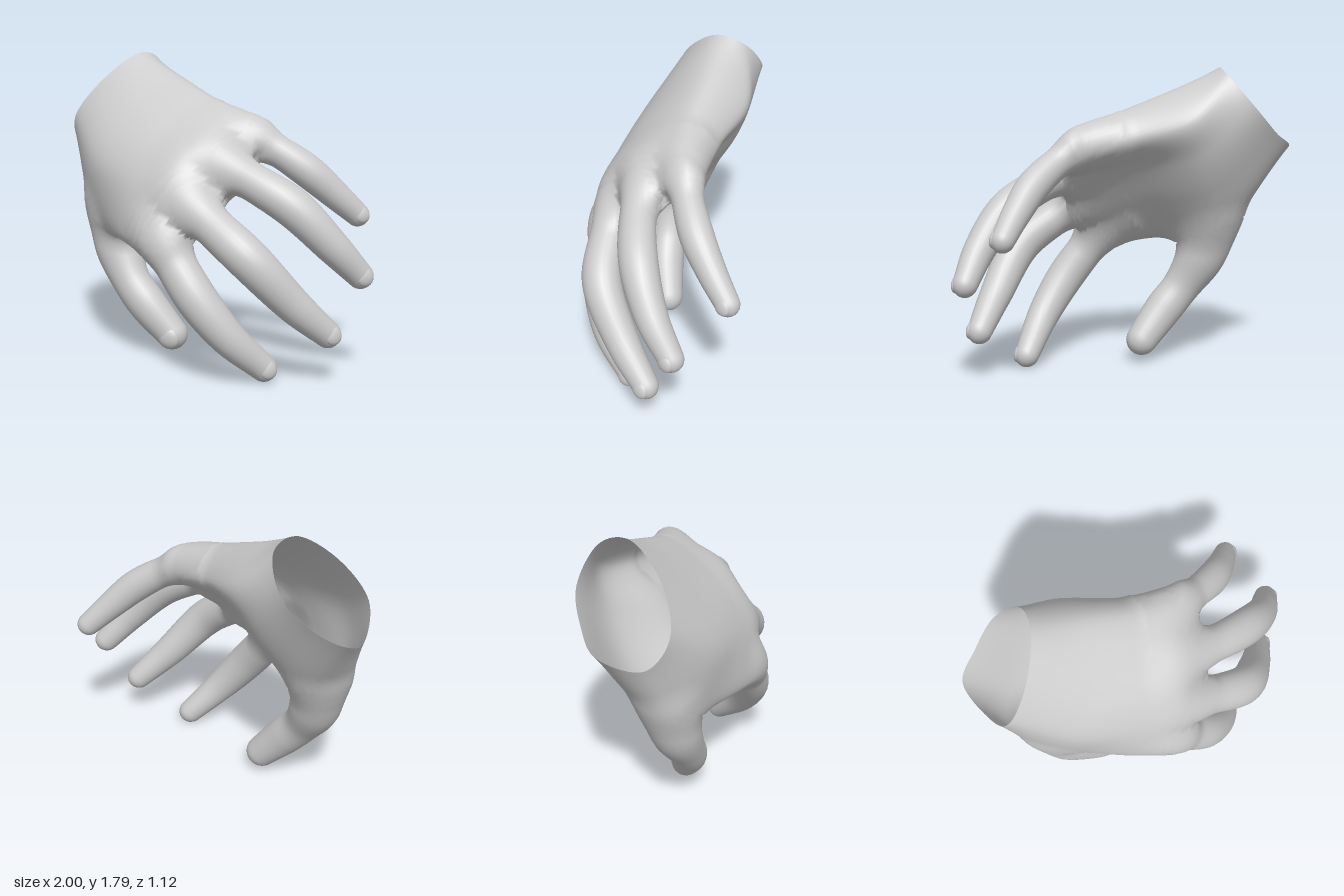
import * as THREE from 'three';

const V = (a) => new THREE.Vector3(a[0], a[1], a[2]);
const skin = new THREE.MeshStandardMaterial({ color: 0xcccccc, side: THREE.DoubleSide });

// Skin a list of closed rings (counter-clockwise about the direction of travel)
function loft(rings) {
  const n = rings[0].length, pos = [], index = [];
  rings.forEach((ring) => ring.forEach((p) => pos.push(p.x, p.y, p.z)));
  for (let i = 0; i < rings.length - 1; i++) {
    for (let j = 0; j < n; j++) {
      const k = (j + 1) % n;
      const a = i * n + j, b = i * n + k, c = a + n, d = b + n;
      index.push(a, b, c, b, d, c);
    }
  }
  const g = new THREE.BufferGeometry();
  g.setAttribute('position', new THREE.Float32BufferAttribute(pos, 3));
  g.setIndex(index);
  g.computeVertexNormals();
  return g;
}

function mesh(name, geometry) {
  const m = new THREE.Mesh(geometry, skin);
  m.name = name;
  return m;
}

// List the surface points of a geometry with their normals
function surfacePoints(g) {
  const { position, normal } = g.attributes;
  return Array.from({ length: position.count }, (_, i) => ({
    p: new THREE.Vector3().fromBufferAttribute(position, i),
    n: new THREE.Vector3().fromBufferAttribute(normal, i),
  }));
}

// Swell a surface where it meets another one, so the two join in a soft
// fillet, and drop the faces that lie buried inside the other
function fillet(g, own, other, width) {
  const gap = new THREE.Vector3();
  const buried = own.map(({ p, n }, i) => {
    let near = other[0], best = Infinity;
    for (const o of other) {
      const dist = p.distanceToSquared(o.p);
      if (dist < best) { best = dist; near = o; }
    }
    const plane = gap.subVectors(p, near.p).dot(near.n);
    const slide = Math.max(Math.sqrt(Math.max(best - plane * plane, 0)) - 0.03, 0);
    const d = Math.hypot(plane, slide) * (plane < 0 ? -1 : 1);
    if (Math.abs(d) < width) {
      const dir = n.clone().lerp(near.n, 0.5 - 0.5 * d / width).normalize();
      const swell = (width - Math.abs(d)) ** 2 / (4 * width) + Math.min(d, 0) * 0.5;
      const q = p.clone().addScaledVector(dir, swell);
      g.attributes.position.setXYZ(i, q.x, q.y, q.z);
      g.attributes.normal.setXYZ(i, dir.x, dir.y, dir.z);
    }
    return d < -0.035 && d > -0.3 && slide < 0.02;
  });
  const faces = Array.from(g.index.array), kept = [];
  for (let i = 0; i < faces.length; i += 3) {
    const face = faces.slice(i, i + 3);
    if (!face.every((v) => buried[v])) kept.push(...face);
  }
  g.setIndex(kept);
}

// A digit: joints are [x, y, z, radius] from the root to the centre of the tip
function digit(name, joints, back) {
  const path = new THREE.CatmullRomCurve3(joints.map(V));
  const radii = new THREE.CatmullRomCurve3(joints.map((j) => new THREE.Vector3(j[3], 0, 0)), false, 'catmullrom');
  const sides = 24, steps = 50, capSteps = 7, rings = [];
  const frame = (t) => {
    const d = path.getTangent(t);
    const n = V(back).addScaledVector(d, -V(back).dot(d)).normalize();
    return { d, n, s: n.clone().cross(d) };
  };
  const addRing = (p, r, f) => {
    const ring = [];
    for (let j = 0; j < sides; j++) {
      const a = (j / sides) * Math.PI * 2;
      ring.push(p.clone().addScaledVector(f.s, r * Math.cos(a)).addScaledVector(f.n, r * 0.95 * Math.sin(a)));
    }
    rings.push(ring);
  };
  addRing(path.getPoint(0), 0.001, frame(0));
  for (let i = 0; i <= steps; i++) {
    const t = i / steps;
    addRing(path.getPoint(t), radii.getPoint(t).x, frame(t));
  }
  // Rounded fingertip
  const tip = path.getPoint(1), r = joints[joints.length - 1][3], f = frame(1);
  for (let i = 1; i <= capSteps; i++) {
    const a = (i / capSteps) * Math.PI / 2;
    addRing(tip.clone().addScaledVector(f.d, r * Math.sin(a)), r * Math.max(Math.cos(a), 0.001), f);
  }
  const group = new THREE.Group();
  group.name = name;
  group.add(mesh(name + 'Flesh', loft(rings)));

  // Nail set into the back of the tip
  const nail = mesh(name + 'Nail', new THREE.SphereGeometry(1, 18, 12));
  nail.quaternion.setFromRotationMatrix(new THREE.Matrix4().makeBasis(f.s, f.n, f.d));
  nail.position.copy(tip).addScaledVector(f.n, r * 0.62).addScaledVector(f.d, r * 0.05);
  nail.scale.set(r * 0.7, r * 0.38, r * 0.76);
  group.add(nail);
  return group;
}

// Palm sections from wrist to finger webs; each runs from the little-finger
// edge over the back of the hand, round the thumb edge and along the palm
const palmSections = [
  [[-0.58, 1.79, -0.03], [-0.69, 1.63, 0.17], [-0.83, 1.42, 0.26], [-0.92, 1.25, 0.15],
    [-1, 1.33, -0.07], [-0.88, 1.42, -0.2], [-0.73, 1.57, -0.28], [-0.585, 1.75, -0.21]],
  [[-0.35, 1.69, -0.06], [-0.4, 1.47, 0.25], [-0.5, 1.17, 0.41], [-0.69, 0.85, 0.26],
    [-0.6, 0.8, 0.05], [-0.5, 1.06, -0.13], [-0.42, 1.3, -0.24], [-0.36, 1.52, -0.29]],
  [[-0.05, 1.57, -0.05], [-0.1, 1.37, 0.28], [-0.15, 1.1, 0.46], [-0.22, 0.78, 0.48],
    [-0.26, 0.75, 0.29], [-0.15, 0.98, 0.1], [-0.1, 1.2, -0.06], [-0.06, 1.4, -0.23]],
  [[0.21, 1.47, -0.06], [0.17, 1.32, 0.26], [0.1, 1.08, 0.44], [0.03, 0.77, 0.51],
    [0.05, 0.69, 0.38], [0.1, 0.9, 0.19], [0.18, 1.13, 0.01], [0.23, 1.32, -0.19]],
  [[0.33, 1.36, -0.12], [0.34, 1.21, 0.1], [0.28, 0.99, 0.3], [0.17, 0.79, 0.43],
    [0.16, 0.75, 0.38], [0.25, 0.91, 0.21], [0.31, 1.11, 0.04], [0.33, 1.28, -0.15]],
  Array(8).fill([0.31, 1.06, 0.15]),
];

function palm() {
  const rails = palmSections[0].map((_, k) =>
    new THREE.CatmullRomCurve3(palmSections.map((s) => V(s[k])), false, 'catmullrom'));
  const rings = [], steps = 72, around = 72;
  for (let i = 0; i <= steps; i++) {
    const loop = new THREE.CatmullRomCurve3(rails.map((c) => c.getPoint(i / steps)), true, 'catmullrom');
    const ring = [];
    for (let j = 0; j < around; j++) ring.push(loop.getPoint(j / around));
    rings.push(ring);
  }
  return mesh('palm', loft(rings));
}

export function createModel() {
  const hand = new THREE.Group();
  hand.name = 'hand';
  const palmMesh = palm();

  // Fingers bend away from the back of the hand
  const back = [0.1, 0.57, 0.64];
  const digits = [
    digit('indexFinger', [[-0.12, 0.93, 0.32, 0.05], [0.03, 0.81, 0.415, 0.115], [0.15, 0.66, 0.415, 0.117],
      [0.29, 0.48, 0.395, 0.117], [0.435, 0.27, 0.3, 0.1], [0.55, 0.08, 0.13, 0.077]], back),
    digit('middleFinger', [[-0.05, 1.12, 0.23, 0.05], [0.13, 1.02, 0.325, 0.11], [0.34, 0.89, 0.32, 0.113],
      [0.56, 0.73, 0.28, 0.118], [0.73, 0.47, 0.1, 0.1], [0.84, 0.29, -0.07, 0.077]], back),
    digit('ringFinger', [[0, 1.3, 0.06, 0.05], [0.2, 1.225, 0.13, 0.103], [0.42, 1.13, 0.105, 0.106],
      [0.66, 0.99, 0.02, 0.112], [0.83, 0.78, -0.11, 0.096], [0.925, 0.605, -0.25, 0.075]], back),
    digit('littleFinger', [[0.02, 1.4, -0.09, 0.05], [0.25, 1.355, -0.11, 0.09], [0.39, 1.27, -0.17, 0.09],
      [0.54, 1.15, -0.27, 0.097], [0.65, 1.01, -0.39, 0.084], [0.73, 0.89, -0.5, 0.07]], back),
    digit('thumb', [[-0.65, 1.06, 0.14, 0.06], [-0.62, 0.92, 0.15, 0.15], [-0.54, 0.65, 0.19, 0.152],
      [-0.42, 0.45, 0.21, 0.118], [-0.3, 0.31, 0.19, 0.116], [-0.155, 0.14, 0.13, 0.096]], [0.1, 0.2, 1]),
  ];

  // Blend the digits into the palm
  const palmPoints = surfacePoints(palmMesh.geometry);
  const digitPoints = digits.map((d) => surfacePoints(d.children[0].geometry));
  fillet(palmMesh.geometry, palmPoints, digitPoints.flat(), 0.12);
  digits.forEach((d, i) => fillet(d.children[0].geometry, digitPoints[i], palmPoints, 0.12));

  hand.add(palmMesh, ...digits);
  return hand;
}
